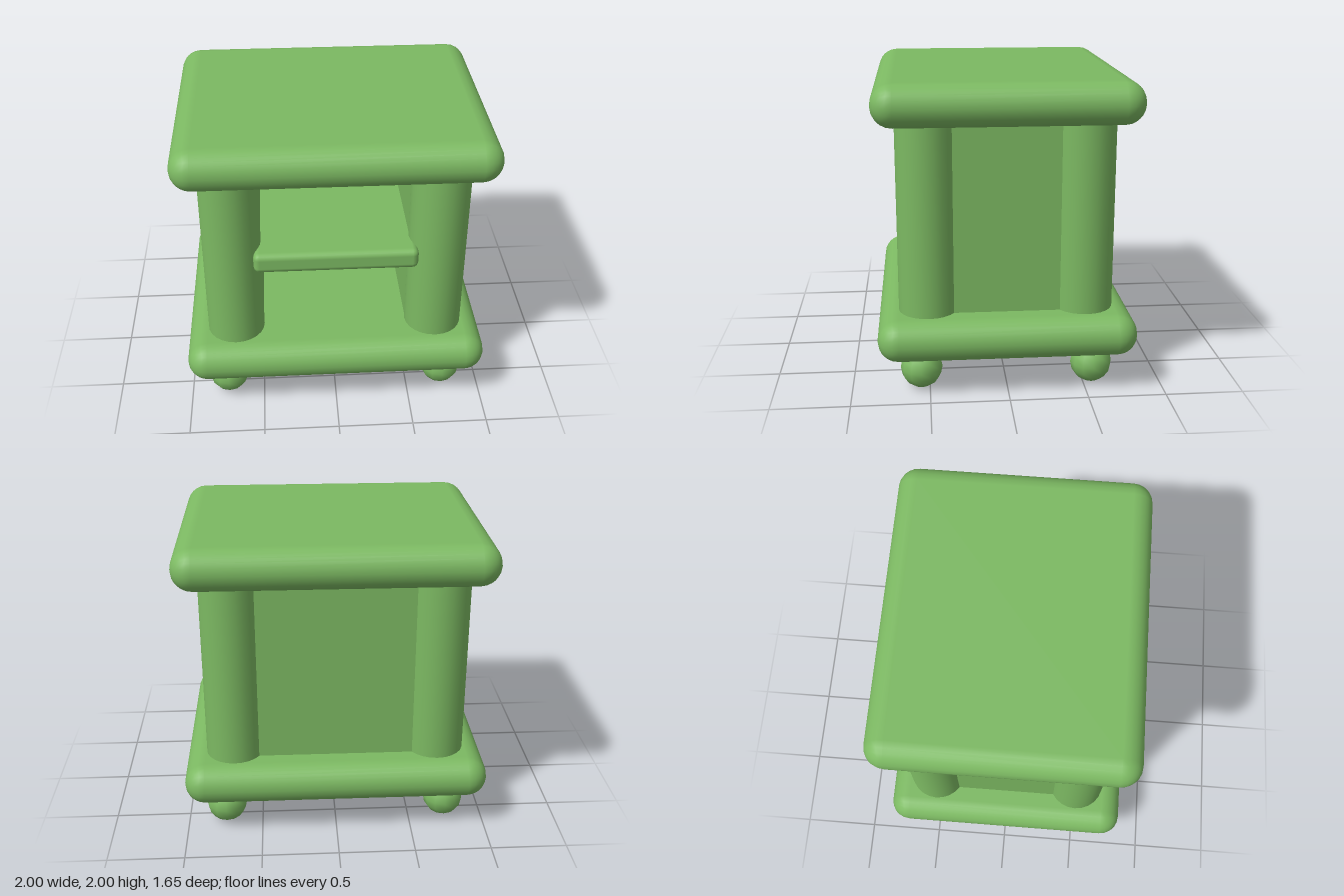
import * as THREE from 'three';
import { RoundedBoxGeometry } from 'three/addons/geometries/RoundedBoxGeometry.js';

export function createModel() {
  const model = new THREE.Group();
  model.name = 'nightstand';
  const green = new THREE.MeshStandardMaterial({ color: 0x7cb962 });
  green.name = 'leaf green';

  function add(name, geometry, x, y, z) {
    const mesh = new THREE.Mesh(geometry, green);
    mesh.name = name;
    mesh.position.set(x, y, z);
    model.add(mesh);
  }

  // Thick rounded slabs
  const slab = new RoundedBoxGeometry(2, 0.27, 1.65, 3, 0.134);
  add('topSlab', slab, 0, 1.865, 0);
  add('baseSlab', slab, 0, 0.377, 0);

  // Corner pillars and ball feet
  const pillar = new THREE.CylinderGeometry(0.19, 0.19, 1.36, 24);
  const foot = new THREE.SphereGeometry(0.135, 12, 8);
  for (const sx of [-1, 1]) {
    for (const sz of [-1, 1]) {
      const corner = (sz > 0 ? 'front' : 'back') + (sx > 0 ? 'Left' : 'Right');
      add(corner + 'Pillar', pillar, sx * 0.67, 1.12, sz * 0.5);
      add(corner + 'Foot', foot, sx * 0.74, 0.137, sz * 0.553);
    }
    // Side walls run between the pillars, flush with their inner edge
    add(sx > 0 ? 'leftWall' : 'rightWall',
      new THREE.BoxGeometry(0.285, 1.34, 1.0), sx * 0.6275, 1.12, 0);
  }

  // Back wall
  add('backWall', new THREE.BoxGeometry(1.34, 1.34, 0.35), 0, 1.12, -0.425);

  // Shelf, its rounded front edge set into the front pillars
  add('shelf', new RoundedBoxGeometry(1.06, 0.14, 1.0, 2, 0.04), 0, 1.13, 0.18);

  return model;
}
